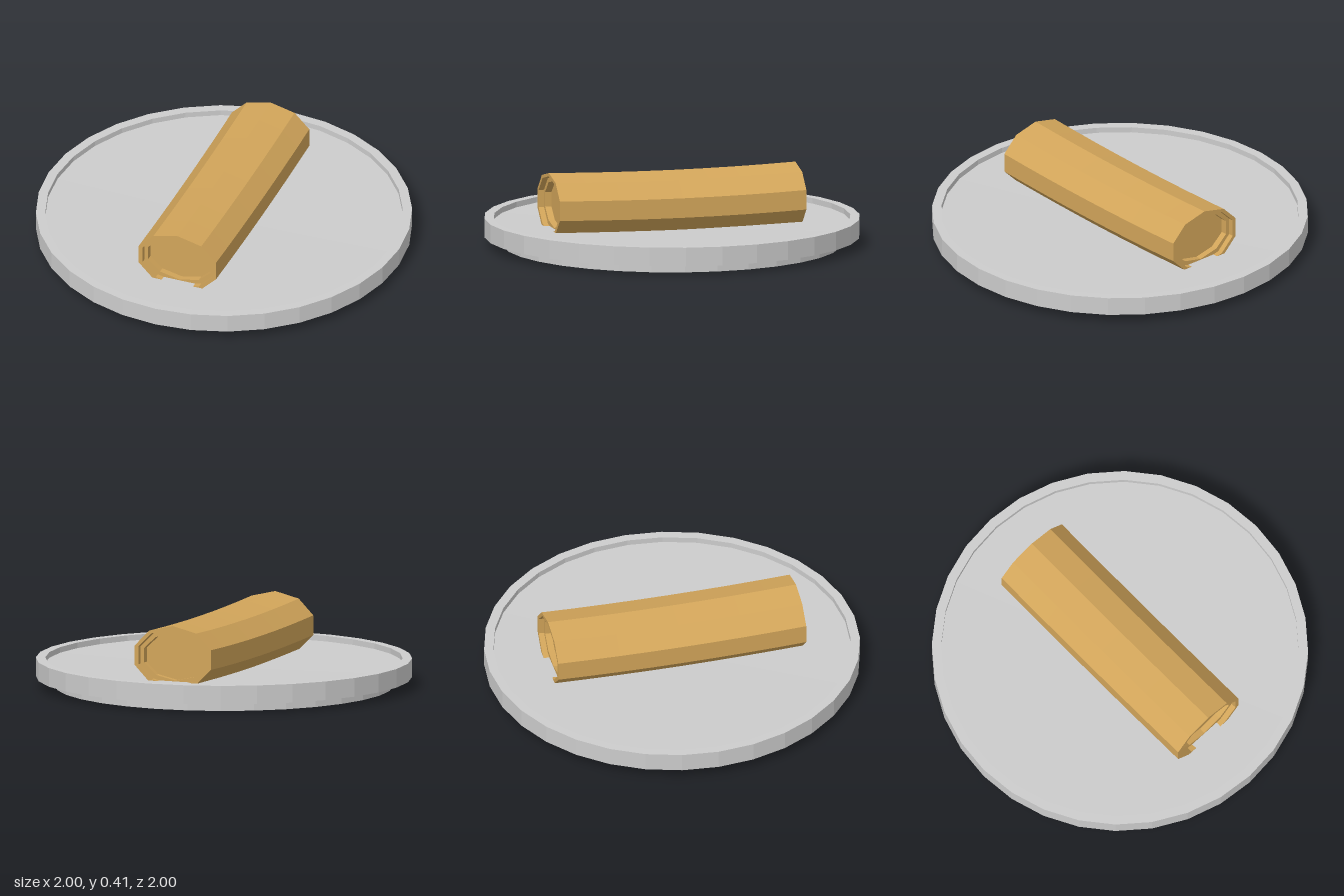
import * as THREE from 'three';

const HALF = 0.68;      // half length of the roll
const CENTRE_Y = 0.245; // height of the roll axis at its ends
const SAG = 0.014;      // how far the roll dips in the middle

// ten-sided oval outline with a corner at the top
function oval(rx, ry, Type) {
  const points = [];
  for (let i = 0; i < 10; i++) {
    const a = Math.PI / 2 + (i * Math.PI) / 5;
    points.push(new THREE.Vector2(Math.cos(a) * rx, Math.sin(a) * ry));
  }
  return new Type(points);
}

// one layer of the roll: extruded oval (with optional hole), bent along its length
function rollLayer(outer, inner, recess) {
  const shape = oval(outer[0], outer[1], THREE.Shape);
  if (inner) shape.holes.push(oval(inner[0], inner[1], THREE.Path));
  const depth = 2 * (HALF - recess);
  const geometry = new THREE.ExtrudeGeometry(shape, { depth, steps: 8, bevelEnabled: false });
  geometry.translate(0, CENTRE_Y, -depth / 2);
  const p = geometry.attributes.position;
  for (let i = 0; i < p.count; i++) {
    const t = p.getZ(i) / HALF;
    p.setY(i, p.getY(i) - SAG * (1 - t * t));
  }
  geometry.computeVertexNormals();
  return geometry;
}

export function createModel() {
  const china = new THREE.MeshStandardMaterial({ color: 0xcccccc });
  china.name = 'greyChina';
  const pastry = new THREE.MeshStandardMaterial({ color: 0xd2a55a });
  pastry.name = 'goldenPastry';

  const model = new THREE.Group();
  model.name = 'rollOnPlate';
  const add = (name, geometry, material, parent) => {
    const mesh = new THREE.Mesh(geometry, material);
    mesh.name = name;
    parent.add(mesh);
  };

  // plate: foot ring, rim and shallow dished floor, from underside to top
  const profile = [
    [0, 0.05], [0.85, 0.05], [0.85, 0], [0.9, 0], [0.9, 0.05], [1, 0.05],
    [1, 0.15], [0.95, 0.15], [0.95, 0.12], [0.4, 0.107], [0, 0.1],
  ].map(([x, y]) => new THREE.Vector2(x, y));
  const plate = new THREE.LatheGeometry(profile, 32).toNonIndexed();
  plate.computeVertexNormals();
  add('plate', plate, china, model);

  // roll: two wrapped layers round a recessed core
  const roll = new THREE.Group();
  roll.name = 'roll';
  model.add(roll);
  add('outerWrap', rollLayer([0.232, 0.17], [0.21, 0.152], 0), pastry, roll);
  add('innerWrap', rollLayer([0.21, 0.152], [0.188, 0.126], 0.03), pastry, roll);
  add('core', rollLayer([0.188, 0.126], null, 0.065), pastry, roll);

  return model;
}
